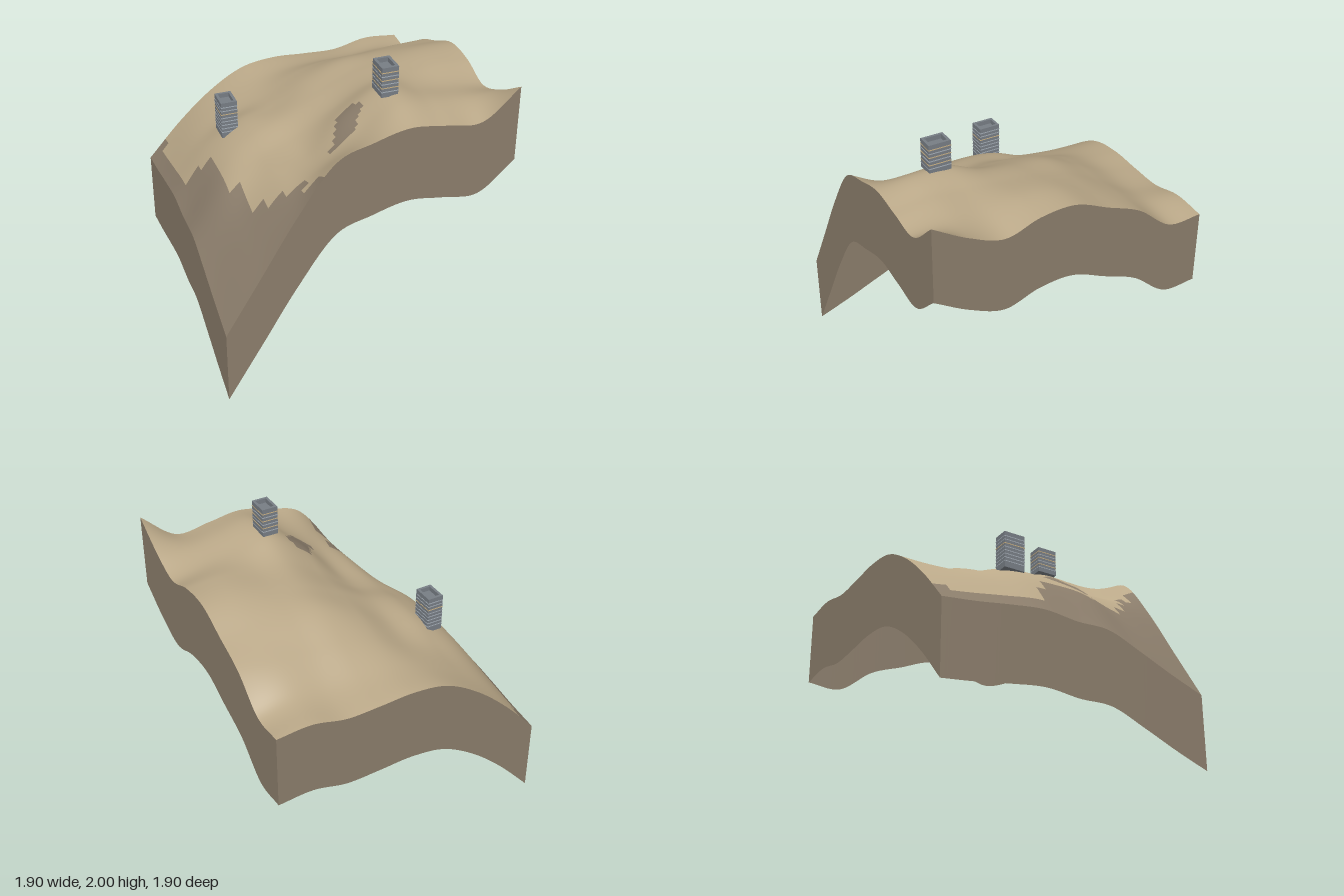
import * as THREE from 'three';

const HALF = 0.95, DEPTH = 0.51, N = 80;

// Heights on a 9 x 9 grid: rows run from back (-z) to front (+z), columns from -x to +x
const HEIGHTS = [
  [0.71, 0.97, 1.18, 1.32, 1.36, 1.35, 1.345, 1.395, 1.38],
  [0.74, 1.02, 1.19, 1.31, 1.38, 1.40, 1.40, 1.42, 1.38],
  [0.78, 1.07, 1.22, 1.33, 1.46, 1.52, 1.53, 1.55, 1.56],
  [0.81, 1.13, 1.31, 1.38, 1.53, 1.63, 1.65, 1.66, 1.66],
  [0.79, 1.15, 1.33, 1.42, 1.55, 1.66, 1.71, 1.75, 1.755],
  [0.79, 1.14, 1.30, 1.39, 1.56, 1.70, 1.73, 1.76, 1.745],
  [0.70, 1.05, 1.30, 1.40, 1.64, 1.79, 1.75, 1.72, 1.675],
  [0.60, 0.98, 1.30, 1.46, 1.64, 1.80, 1.77, 1.74, 1.76],
  [0.51, 0.90, 1.29, 1.61, 1.70, 1.755, 1.725, 1.705, 1.90],
];

// Smooth curve through evenly spaced values, t from 0 to 1
function spline(v, t) {
  const last = v.length - 1;
  const i = Math.min(Math.floor(t * last), last - 1), f = t * last - i;
  const b = v[i], c = v[i + 1];
  const a = i > 0 ? v[i - 1] : 2 * b - c;
  const d = i + 2 <= last ? v[i + 2] : 2 * c - b;
  return b + 0.5 * f * (c - a + f * (2 * a - 5 * b + 4 * c - d + f * (3 * (b - c) + d - a)));
}

const at = (k) => -HALF + (2 * HALF * k) / N;

function heightAt(x, z) {
  const u = (x + HALF) / (2 * HALF), w = (z + HALF) / (2 * HALF);
  return spline(HEIGHTS.map((row) => spline(row, u)), w);
}

// Bare rock on the steep flank: [up to z, rock where x is below]
const ROCK_EDGE = [[-0.85, -0.83], [-0.2, -0.87], [-0.12, -0.79], [0.31, -0.72], [0.58, -0.64],
  [0.67, -0.56], [0.74, -0.48], [0.8, -0.35], [0.85, -0.4], [2, -0.32]];

function isRock(x, z) {
  const edge = ROCK_EDGE.find(([limit]) => z < limit)[1];
  const patch = (cx, cz, rx, rz) => ((x - cx) / rx) ** 2 + ((z - cz) / rz) ** 2 < 1;
  return x < edge || patch(0.01, 0.51, 0.08, 0.09) || patch(-0.04, 0.59, 0.07, 0.08) || patch(-0.11, 0.64, 0.05, 0.03);
}

function makeGeometry(positions, indices) {
  const g = new THREE.BufferGeometry();
  g.setAttribute('position', new THREE.Float32BufferAttribute(positions, 3));
  g.setIndex(indices);
  g.computeVertexNormals();
  return g;
}

function terrainGeometry() {
  const pos = [], sand = [], rock = [];
  for (let j = 0; j <= N; j++) {
    for (let i = 0; i <= N; i++) pos.push(at(i), heightAt(at(i), at(j)), at(j));
  }
  for (let j = 0; j < N; j++) {
    for (let i = 0; i < N; i++) {
      const a = j * (N + 1) + i, c = a + N + 1;
      const target = isRock(at(i + 0.5), at(j + 0.5)) ? rock : sand;
      target.push(a, c, a + 1, a + 1, c, c + 1);
    }
  }
  const g = makeGeometry(pos, [...sand, ...rock]);
  g.addGroup(0, sand.length, 0);
  g.addGroup(sand.length, rock.length, 1);
  return g;
}

// Vertical wall hanging from one border of the terrain
function skirtGeometry(pointAt) {
  const pos = [], idx = [];
  for (let k = 0; k <= N; k++) {
    const [x, z] = pointAt(at(k)), y = heightAt(x, z);
    pos.push(x, y, z, x, y - DEPTH, z);
    if (k < N) {
      const a = 2 * k;
      idx.push(a, a + 1, a + 2, a + 2, a + 1, a + 3);
    }
  }
  return makeGeometry(pos, idx);
}

export function createModel() {
  const material = (name, color, side = THREE.FrontSide) => {
    const m = new THREE.MeshStandardMaterial({ color, side });
    m.name = name;
    return m;
  };
  const sand = material('sand', 0xbaa888, THREE.DoubleSide);
  const rock = material('rock', 0x8b7d6b, THREE.DoubleSide);
  const concrete = material('concrete', 0x777d84);
  const litWindow = material('litWindow', 0xc9b184);
  const paleWindow = material('paleWindow', 0xa3acb5);

  const model = new THREE.Group();
  model.name = 'hillsideBlock';
  const add = (parent, name, geometry, mat, x = 0, y = 0, z = 0) => {
    const mesh = new THREE.Mesh(geometry, mat);
    mesh.name = name;
    mesh.position.set(x, y, z);
    parent.add(mesh);
  };
  const box = (parent, name, mat, w, h, d, x, y, z) =>
    add(parent, name, new THREE.BoxGeometry(w, h, d), mat, x, y, z);

  // Ground surface and its four open-bottomed side walls
  add(model, 'terrain', terrainGeometry(), [sand, rock]);
  add(model, 'frontSkirt', skirtGeometry((t) => [t, HALF]), rock);
  add(model, 'leftSkirt', skirtGeometry((t) => [HALF, -t]), rock);
  add(model, 'backSkirt', skirtGeometry((t) => [-t, -HALF]), rock);
  add(model, 'rightSkirt', skirtGeometry((t) => [-HALF, t]), rock);

  // Tower block: body, hollow parapet and thin window bands
  function tower(name, x, z, bottom, top, litFloors) {
    const W = 0.11, D = 0.15, PARAPET = 0.03, T = 0.018;
    const g = new THREE.Group();
    g.name = name;
    g.position.set(x, 0, z);
    const roof = top - PARAPET, rim = top - PARAPET / 2;
    box(g, 'towerBody', concrete, W, roof - bottom, D, 0, (roof + bottom) / 2, 0);
    for (const s of [-1, 1]) {
      box(g, 'parapetSide', concrete, T, PARAPET, D, s * (W - T) / 2, rim, 0);
      box(g, 'parapetEnd', concrete, W - 2 * T, PARAPET, T, 0, rim, s * (D - T) / 2);
    }
    let floor = 0;
    for (let y = top - 0.034; y > bottom + 0.02; y -= 0.026, floor++) {
      const mat = litFloors.includes(floor) ? litWindow : paleWindow;
      box(g, 'windowBand', mat, W + 0.003, 0.006, D + 0.003, 0, y, 0);
    }
    model.add(g);
  }
  tower('frontTower', 0.235, 0.55, 1.8, 2.0, [0, 2, 4]);
  tower('backTower', -0.56, -0.24, 1.24, 1.5, [2]);

  return model;
}
